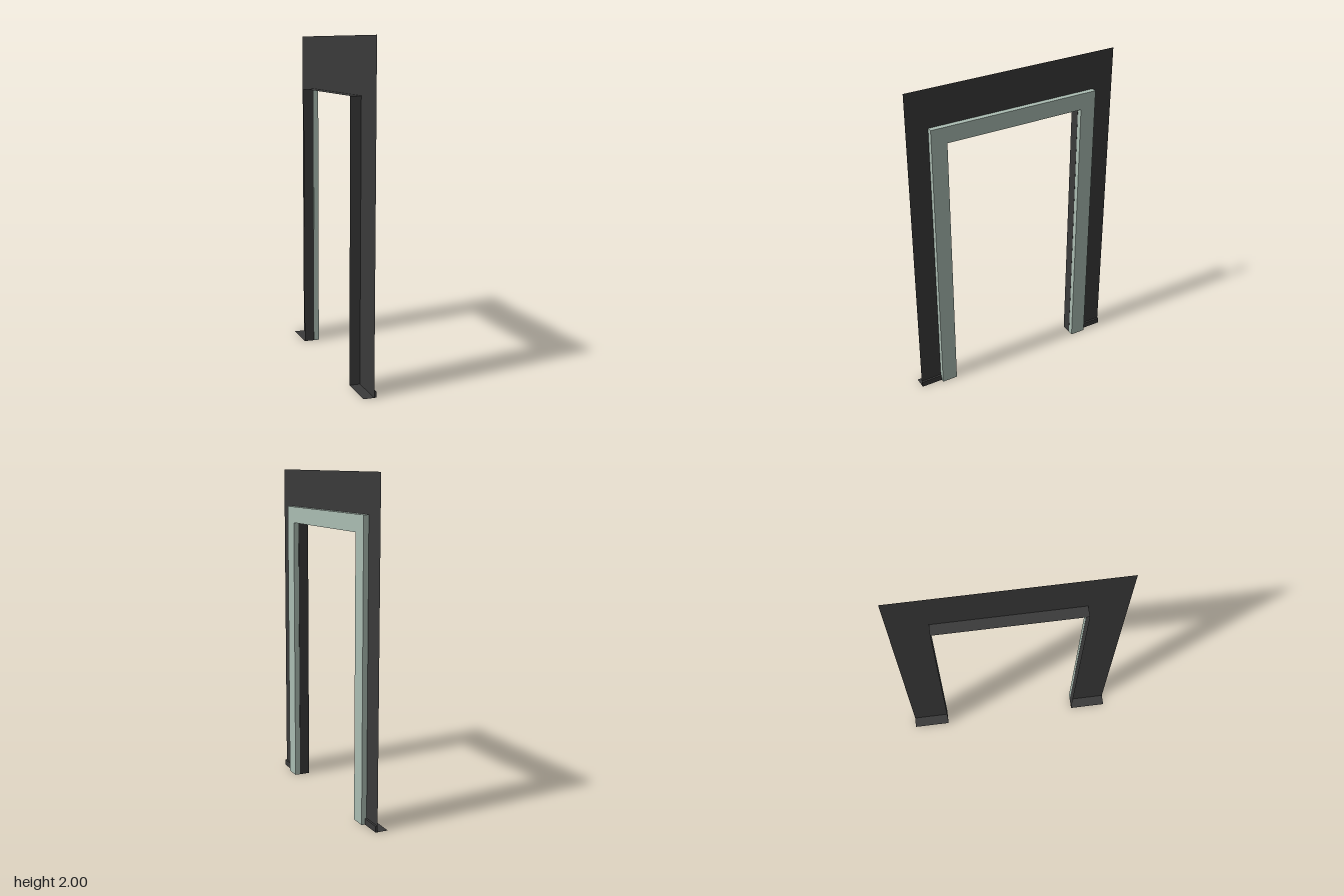
import * as THREE from 'three';

const FACE = 0.015, BACK = -0.05;           // wall face and rear edge of the lining
const OPEN_Z = 0.435, OPEN_Y = 1.67;        // half width and height of the opening
const WALL_Z = 0.665, WALL_Y = 2;
const TRIM_Z = 0.532, TRIM_Y = 1.77, TRIM_X = 0.048;

// Upside-down U around the opening
function archShape(halfWidth, height) {
  return new THREE.Shape([
    [-halfWidth, 0], [-OPEN_Z, 0], [-OPEN_Z, OPEN_Y], [OPEN_Z, OPEN_Y],
    [OPEN_Z, 0], [halfWidth, 0], [halfWidth, height], [-halfWidth, height],
  ].map(([x, y]) => new THREE.Vector2(x, y)));
}

export function createModel() {
  const model = new THREE.Group();
  model.name = 'doorway';
  const dark = new THREE.MeshStandardMaterial({ color: 0x3a3a3a, side: THREE.DoubleSide });
  const green = new THREE.MeshStandardMaterial({ color: 0xabbdb3 });

  function add(name, geometry, material, x, y, z) {
    const mesh = new THREE.Mesh(geometry, material);
    mesh.name = name;
    mesh.position.set(x, y, z);
    model.add(mesh);
    return mesh;
  }

  // Thin wall sheet with the opening cut out, facing +x
  const wall = new THREE.ShapeGeometry(archShape(WALL_Z, WALL_Y)).rotateY(Math.PI / 2);
  add('wallPanel', wall, dark, FACE, 0, 0);

  // Raised door casing on the wall face
  const trim = new THREE.ExtrudeGeometry(archShape(TRIM_Z, TRIM_Y), {
    depth: TRIM_X - FACE - 0.001, bevelEnabled: false,
  }).rotateY(Math.PI / 2);
  add('doorCasing', trim, green, FACE + 0.001, 0, 0);

  // Lining of the opening: head and two jambs, thin sheets behind the wall
  const depth = FACE - BACK, midX = (FACE + BACK) / 2;
  const head = new THREE.PlaneGeometry(depth, OPEN_Z * 2).rotateX(Math.PI / 2);
  add('headLining', head, dark, midX, OPEN_Y, 0);

  const footWidth = WALL_Z - OPEN_Z, skirtWidth = WALL_Z - TRIM_Z;
  for (const [side, s] of [['near', 1], ['far', -1]]) {
    const jamb = new THREE.PlaneGeometry(depth, OPEN_Y);
    if (s > 0) jamb.rotateY(Math.PI);
    add(side + 'JambLining', jamb, dark, midX, OPEN_Y / 2, s * OPEN_Z);

    // Sheet closing the foot of the wall
    const foot = new THREE.PlaneGeometry(depth, footWidth).rotateX(Math.PI / 2);
    add(side + 'Foot', foot, dark, midX, 0, s * (OPEN_Z + WALL_Z) / 2);

    // Low skirting beside the casing
    const skirt = new THREE.BoxGeometry(0.012, 0.036, skirtWidth);
    add(side + 'Skirting', skirt, dark, FACE + 0.006, 0.018, s * (TRIM_Z + WALL_Z) / 2);
  }
  return model;
}
